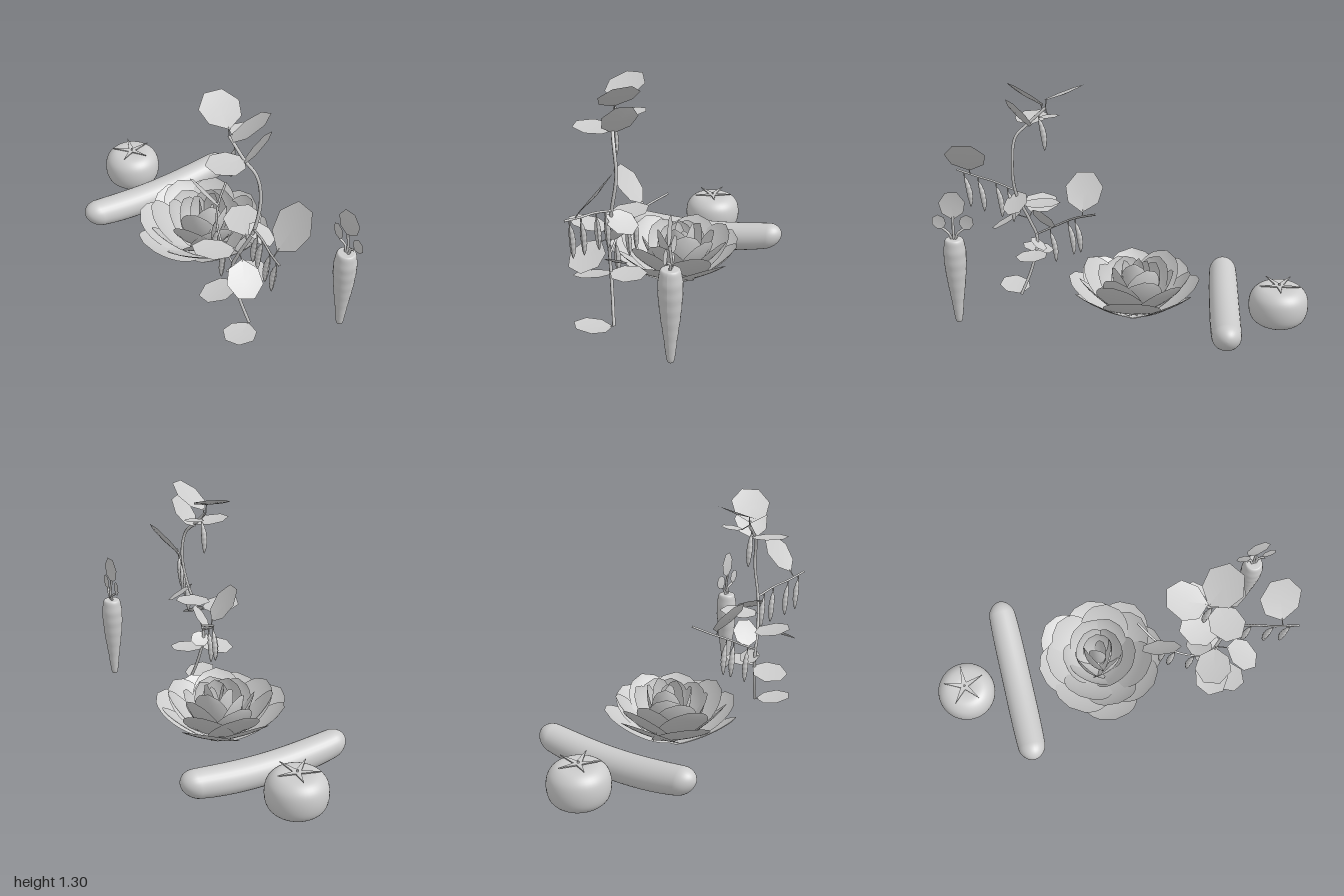
import * as THREE from 'three';

const V = (x, y, z) => new THREE.Vector3(x, y, z);
const solid = new THREE.MeshStandardMaterial({ color: 0xcccccc });
const thin = new THREE.MeshStandardMaterial({ color: 0xcccccc, side: THREE.DoubleSide });

function add(parent, name, geometry, material = solid) {
  const mesh = new THREE.Mesh(geometry, material);
  mesh.name = name;
  parent.add(mesh);
  return mesh;
}

function group(parent, name) {
  const g = new THREE.Group();
  g.name = name;
  parent.add(g);
  return g;
}

// Move every vertex of a geometry by a rule
function deform(geometry, rule) {
  const p = geometry.attributes.position, v = V(0, 0, 0);
  for (let i = 0; i < p.count; i++) {
    rule(v.fromBufferAttribute(p, i));
    p.setXYZ(i, v.x, v.y, v.z);
  }
  geometry.computeVertexNormals();
  return geometry;
}

const curve = pts => new THREE.CatmullRomCurve3(pts.map(p => V(...p)));
const tube = (c, r, n = 24) => new THREE.TubeGeometry(c, n, r, 6);

// Smooth lathe through a few [radius, height] points
function lathe(points, steps = 32, sides = 32) {
  const spline = new THREE.SplineCurve(points.map(p => new THREE.Vector2(...p)));
  const profile = spline.getPoints(steps).map(p => p.setX(Math.max(p.x, 0)));
  return new THREE.LatheGeometry(profile, sides);
}

// Seven-sided, slightly cupped leaf whose pointed base aims at `root`
function leaf(parent, centre, normal, radius, root) {
  const geo = deform(new THREE.CircleGeometry(1, 7), v => {
    if (v.length() < 0.1) v.z = -0.1;
    else if (v.x > 0.99) v.x = 1.15;
    else if (v.x < -0.8) v.x = -1;
  });
  const z = normal.clone().normalize();
  const x = root.clone().sub(centre).projectOnPlane(z).normalize();
  const y = z.clone().cross(x);
  const mesh = add(parent, 'leaf', geo, thin);
  mesh.quaternion.setFromRotationMatrix(new THREE.Matrix4().makeBasis(x, y, z));
  mesh.position.copy(centre);
  mesh.scale.setScalar(radius);
  const base = centre.clone().addScaledVector(x, radius);
  if (base.distanceTo(root) > 0.015) {
    add(parent, 'leafStalk', tube(new THREE.LineCurve3(root, base), 0.003, 1));
  }
}

function tomato(root) {
  const g = group(root, 'tomato');
  g.position.set(0, 0, -0.838);
  add(g, 'tomatoBody', lathe([[0, 0.02], [0.04, 0.008], [0.1, 0.008], [0.147, 0.045], [0.162, 0.11],
    [0.15, 0.175], [0.107, 0.215], [0.045, 0.22], [0, 0.205]], 40, 40));
  // Five-pointed calyx with lifted tips
  const star = new THREE.Shape();
  for (let i = 0; i < 10; i++) {
    const a = i * Math.PI / 5, r = i % 2 ? 0.023 : 0.115;
    star[i ? 'lineTo' : 'moveTo'](r * Math.cos(a), r * Math.sin(a));
  }
  const calyx = new THREE.ExtrudeGeometry(star, { depth: 0.006, bevelEnabled: false }).rotateX(-Math.PI / 2);
  add(g, 'calyx', deform(calyx, v => { v.y += 0.222 + Math.max(0, Math.hypot(v.x, v.z) - 0.06) * 0.2; }), thin);
  add(g, 'tomatoStalk', new THREE.CylinderGeometry(0.005, 0.008, 0.03, 8).translate(0, 0.224, 0));
}

function cucumber(root) {
  const geo = new THREE.CapsuleGeometry(0.083, 0.806, 12, 28, 24).rotateZ(Math.PI / 2);
  deform(geo, v => {
    const t = (v.x / 0.486) ** 2;
    v.y = v.y * (1 - 0.18 * t * t) + 0.084 + 0.05 * t;
    v.z *= 1 - 0.15 * t * t;
  });
  add(root, 'cucumber', geo).position.z = -0.545;
}

// Rings of overlapping round leaves: flaring outside, wrapped into a bud inside
function lettuce(root) {
  const g = group(root, 'lettuce');
  g.position.set(-0.02, 0.028, -0.048);
  const rings = [
    { n: 8, R: 0.36, H: 0.215, W: 0.155, curl: 0.9, cup: 0.7 },
    { n: 7, R: 0.3, H: 0.27, W: 0.14, curl: 1.0, cup: 0.9 },
    { n: 6, R: 0.2, H: 0.275, W: 0.12, curl: 1.3, cup: 1.8 },
    { n: 4, R: 0.125, H: 0.3, W: 0.11, curl: 1.7, cup: 3 },
    { n: 3, R: 0.075, H: 0.325, W: 0.085, curl: 2, cup: 5 },
    { n: 2, R: 0.04, H: 0.315, W: 0.05, curl: 1.9, cup: 9 },
  ];
  rings.forEach(({ n, R, H, W, curl, cup }, k) => {
    for (let i = 0; i < n; i++) {
      const vary = 1 + 0.05 * Math.sin(i * 2.4 + k * 1.7);
      const geo = deform(new THREE.PlaneGeometry(2, 1, 10, 16), v => {
        const s = v.y + 0.5;
        const w = s > 0.6 ? Math.sqrt(Math.max(0, 1 - ((s - 0.6) / 0.4) ** 2))
          : 0.35 + 0.65 * Math.sin(s / 0.6 * Math.PI / 2);
        const t = v.x * w * W;
        const r = R * vary * Math.sin(s * curl) / Math.sin(Math.min(curl, Math.PI / 2));
        v.set(t, H * s ** 1.3 / vary + t * t * 0.4, r - cup * t * t);
      });
      const mesh = add(g, 'lettuceLeaf', geo, thin);
      mesh.rotation.y = (i + k * 0.45 + 0.12 * Math.sin(i * 3.1 + k)) * Math.PI * 2 / n;
      mesh.position.set(0.035 * k / 5, 0, -0.01 * k / 5);
    }
  });
}

function carrot(root) {
  const g = group(root, 'carrot');
  g.position.set(0.21, 0, 0.885);
  const body = lathe([[0, 0.065], [0.018, 0.075], [0.033, 0.19], [0.05, 0.32], [0.059, 0.43],
    [0.057, 0.5], [0.047, 0.543], [0.03, 0.549], [0, 0.548]], 60, 24);
  add(g, 'carrotRoot', deform(body, v => {
    const f = 1 + 0.015 * Math.sin(v.y * 95);
    v.x *= f;
    v.z *= f;
  }));
  // Flat fan of three leaves on stalks
  [[0, 0.735, 0.07], [0.075, 0.64, 0.038], [-0.07, 0.64, 0.04]].forEach(([z, y, r], i) => {
    const stalk = curve([[0, 0.54, z * 0.12], [0.006, 0.58, z * 0.3], [-0.004, y - r * 0.9, z * 0.75]]);
    add(g, 'carrotStalk', tube(stalk, 0.007, 10));
    leaf(g, V(-0.002, y, z), V(1, 0, 0.1 * (i - 1)), r, stalk.getPoint(1));
  });
}

function peaVine(root) {
  const g = group(root, 'peaPlant');
  const main = curve([[-0.165, 0.05, 0.605], [-0.19, 0.2, 0.545], [-0.21, 0.38, 0.51], [-0.2, 0.5, 0.55],
    [-0.16, 0.68, 0.615], [-0.13, 0.87, 0.62], [-0.145, 1, 0.6], [-0.17, 1.06, 0.54], [-0.19, 1.15, 0.44]]);
  const inward = curve([[-0.205, 0.41, 0.51], [-0.2, 0.46, 0.41], [-0.16, 0.525, 0.3], [-0.1, 0.565, 0.23],
    [-0.005, 0.615, 0.16]]);
  const outward = curve([[-0.16, 0.685, 0.615], [-0.2, 0.72, 0.74], [-0.235, 0.735, 0.84], [-0.27, 0.76, 0.96]]);
  add(g, 'mainStem', tube(main, 0.009, 60));
  add(g, 'innerBranch', tube(inward, 0.006));
  add(g, 'outerBranch', tube(outward, 0.006));

  // Leaves: centre, upward normal, radius; each roots at the nearest stem point
  const joints = [main, inward, outward].flatMap(c => c.getPoints(50));
  [
    [[-0.14, 1.235, 0.535], [-0.5, 1, -0.6], 0.108],
    [[-0.125, 1.135, 0.575], [-0.8, 1, -1.05], 0.095],
    [[-0.17, 1.24, 0.34], [-0.15, 1, 0.4], 0.105],
    [[-0.1, 1.13, 0.41], [-0.1, 1, 0.1], 0.055],
    [[-0.27, 1.075, 0.53], [0.1, 1, 0.06], 0.095],
    [[-0.145, 0.875, 0.88], [-1.25, 1, 0], 0.115],
    [[-0.19, 0.68, 0.24], [1.3, 1, 0.15], 0.108],
    [[-0.265, 0.465, 0.69], [-0.1, 1, 0.6], 0.095],
    [[-0.12, 0.63, 0.47], [-0.1, 1, 0.06], 0.1],
    [[-0.11, 0.63, 0.61], [0.5, 1, 0.45], 0.078],
    [[-0.32, 0.555, 0.5], [0.2, 1, -0.08], 0.1],
    [[-0.17, 0.515, 0.465], [-1.1, 1, -0.8], 0.075],
    [[-0.3, 0.285, 0.52], [-0.12, 1, -0.2], 0.095],
    [[-0.11, 0.315, 0.53], [-0.05, 1, 0.05], 0.09],
    [[-0.18, 0.36, 0.5], [0, 1, -0.7], 0.055],
    [[-0.26, 0.065, 0.655], [0.12, 1, -0.08], 0.09],
  ].forEach(([c, n, r]) => {
    const centre = V(...c);
    const near = joints.reduce((a, b) => (b.distanceTo(centre) < a.distanceTo(centre) ? b : a));
    leaf(g, centre, V(...n), r, near);
  });

  // Lumpy, tapering pods hanging from the stems
  const profile = [];
  for (let i = 0; i <= 30; i++) {
    const t = i / 30;
    profile.push(new THREE.Vector2(0.016 * Math.sin(Math.PI * t) ** 0.6 * (1 + 0.06 * Math.cos(t * 38)), (t - 1) * 0.185));
  }
  const podGeo = deform(new THREE.LatheGeometry(profile, 10), v => { v.z += 1.1 * v.y * (v.y + 0.185); });
  const pods = [[inward, 0.19], [inward, 0.43], [inward, 0.54], [outward, 0.12], [outward, 0.3],
    [outward, 0.65], [outward, 0.88], [main, 0.955]];
  pods.forEach(([c, t], i) => {
    const top = c.getPoint(t), hang = top.clone().add(V(0, -0.025, 0));
    add(g, 'podStalk', tube(new THREE.LineCurve3(top, hang), 0.004, 1));
    const pod = add(g, 'pod', podGeo);
    pod.position.copy(hang);
    pod.rotation.set(0.15, 0.3 * Math.sin(i * 2), 0);
  });
}

export function createModel() {
  const root = new THREE.Group();
  root.name = 'vegetables';
  [tomato, cucumber, lettuce, carrot, peaVine].forEach(build => build(root));
  return root;
}
